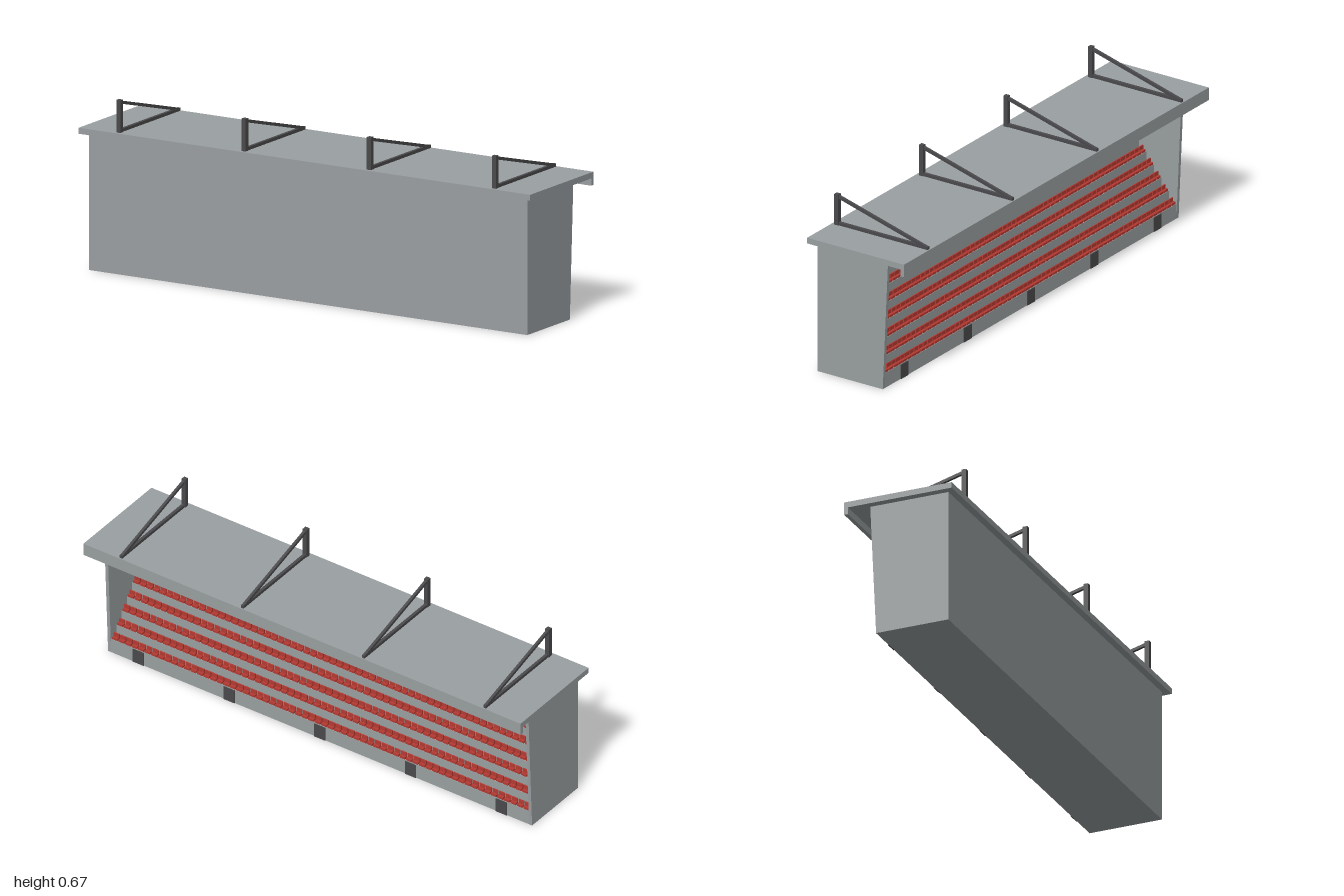
import * as THREE from 'three';
import { mergeGeometries } from 'three/addons/utils/BufferGeometryUtils.js';

const mat = (name, color) => new THREE.MeshStandardMaterial({ name, color });

// Extrude a (z, y) profile along x, centred on x = 0
function profile(points, width) {
  const shape = new THREE.Shape(points.map(([z, y]) => new THREE.Vector2(-z, y)));
  const geo = new THREE.ExtrudeGeometry(shape, { depth: width, bevelEnabled: false });
  return geo.translate(0, 0, -width / 2).rotateY(Math.PI / 2);
}

function box(x0, x1, y0, y1, z0, z1) {
  return new THREE.BoxGeometry(x1 - x0, y1 - y0, z1 - z0)
    .translate((x0 + x1) / 2, (y0 + y1) / 2, (z0 + z1) / 2);
}

export function createModel() {
  const model = new THREE.Group();
  model.name = 'grandstand';
  const concrete = mat('concrete grey', 0x9a9fa1);
  const steel = mat('dark steel', 0x4a4a4c);
  const red = mat('seat red', 0xb53a32);

  const add = (parent, name, geo, material) => {
    const mesh = new THREE.Mesh(geo, material);
    mesh.name = name;
    parent.add(mesh);
    return mesh;
  };

  const halfW = 0.97, wall = 0.014, front = 0.193, back = -0.103, eaves = 0.525;
  const inner = halfW - wall;

  // Long closed wall
  add(model, 'frontWall', box(-inner, inner, 0, eaves, front - wall, front), concrete);

  // End walls, leaning outward towards the open side
  for (const side of [-1, 1]) {
    const geo = profile([[front, 0], [front, eaves], [-0.127, eaves], [back, 0]], wall);
    add(model, side > 0 ? 'leftEndWall' : 'rightEndWall', geo, concrete)
      .position.x = side * (halfW - wall / 2);
  }

  // Stepped terrace
  const rows = 8, rise = 0.045, run = 0.034, firstTread = 0.06;
  const steps = [[front - wall, 0], [back, 0]];
  for (let i = 0; i < rows; i++) {
    const z = back + i * run, y = firstTread + i * rise;
    steps.push([z, y], [i === rows - 1 ? front - wall : z + run, y]);
  }
  add(model, 'terrace', profile(steps, inner * 2), concrete);

  // Seat rows: each seat is a pan with an upright back
  const perRow = 64, pitch = (inner * 2) / perRow, seatW = pitch * 0.84;
  const seats = [];
  for (let i = 0; i < perRow; i++) {
    const x = -inner + (i + 0.5) * pitch;
    seats.push(
      box(x - seatW / 2, x + seatW / 2, 0, 0.009, 0.002, 0.018),
      box(x - seatW / 2, x + seatW / 2, 0.009, 0.024, 0.013, 0.018),
    );
  }
  const rowGeo = mergeGeometries(seats);
  for (let i = 0; i < rows; i++) {
    add(model, 'seatRow', rowGeo, red)
      .position.set(0, firstTread + i * rise, back + i * run);
  }

  // Entrances along the foot of the terrace
  for (let i = -2; i <= 2; i++) {
    add(model, 'entrance', box(-0.025, 0.025, 0, 0.058, back - 0.003, back + 0.002), steel)
      .position.x = i * 0.415;
  }

  // Flat roof with a downturned lip over the open side
  add(model, 'roof', profile([
    [0.22, eaves], [0.22, 0.548], [-0.22, 0.548], [-0.22, 0.497], [-0.205, 0.497], [-0.205, eaves],
  ], 2), concrete);

  // Roof trusses: post, base beam and sloping tie
  for (const x of [-0.832, -0.277, 0.277, 0.832]) {
    const truss = new THREE.Group();
    truss.name = 'roofTruss';
    truss.position.x = x;
    add(truss, 'post', box(-0.009, 0.009, 0.548, 0.673, 0.189, 0.207), steel);
    add(truss, 'baseBeam', box(-0.006, 0.006, 0.548, 0.56, -0.215, 0.189), steel);
    add(truss, 'slopingTie',
      profile([[0.189, 0.656], [0.189, 0.668], [-0.21, 0.56], [-0.21, 0.548]], 0.011), steel);
    model.add(truss);
  }
  return model;
}
